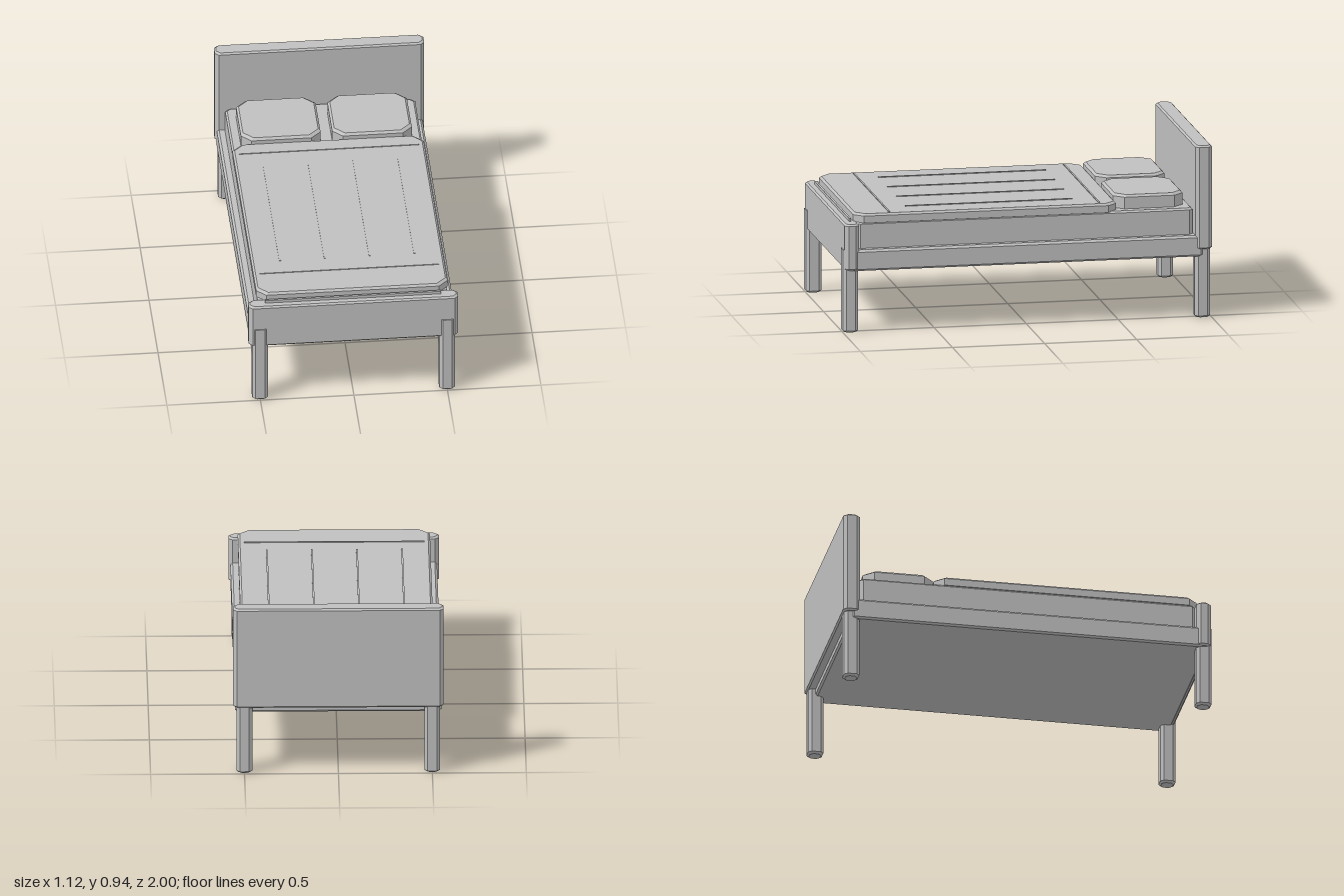
import * as THREE from 'three';

// Box with cut vertical corners and optional bevels on its top and bottom rims.
function chamferBox([x0, x1], [y0, y1], [z0, z1], corner, top = 0, bottom = 0) {
  const ring = (y, inset) => {
    const a = x0 + inset, b = x1 - inset, c = z0 + inset, d = z1 - inset, k = corner;
    return [[a + k, d], [b - k, d], [b, d - k], [b, c + k], [b - k, c], [a + k, c], [a, c + k], [a, d - k]]
      .map(([x, z]) => [x, y, z]);
  };
  const rings = [ring(y0, bottom)];
  if (bottom) rings.push(ring(y0 + bottom, 0));
  if (top) rings.push(ring(y1 - top, 0));
  rings.push(ring(y1, top));
  const points = [];
  const tri = (a, b, c) => points.push(...a, ...b, ...c);
  for (let r = 0; r < rings.length - 1; r++) {
    for (let i = 0; i < 8; i++) {
      const j = (i + 1) % 8, lo = rings[r], hi = rings[r + 1];
      tri(lo[i], lo[j], hi[j]);
      tri(lo[i], hi[j], hi[i]);
    }
  }
  const first = rings[0], last = rings[rings.length - 1];
  for (let i = 1; i < 7; i++) {
    tri(last[0], last[i], last[i + 1]);
    tri(first[0], first[i + 1], first[i]);
  }
  const geometry = new THREE.BufferGeometry();
  geometry.setAttribute('position', new THREE.Float32BufferAttribute(points, 3));
  geometry.computeVertexNormals();
  return geometry;
}

export function createModel() {
  const bed = new THREE.Group();
  bed.name = 'bed';
  const grey = new THREE.MeshStandardMaterial({ color: 0xc0c0c0 });
  grey.name = 'plain grey';

  const add = (name, geometry) => {
    const mesh = new THREE.Mesh(geometry, grey);
    mesh.name = name;
    bed.add(mesh);
    return mesh;
  };
  const strip = (name, w, h, d, x, y, z) =>
    add(name, new THREE.BoxGeometry(w, h, d)).position.set(x, y, z);

  // Frame and end boards
  add('frame', chamferBox([-0.55, 0.55], [0.335, 0.45], [-0.955, 0.98], 0.015, 0.012, 0.01));
  add('headboard', chamferBox([-0.56, 0.56], [0.375, 0.94], [-1, -0.91], 0.02, 0.009, 0.009));
  add('footboard', chamferBox([-0.56, 0.56], [0.34, 0.592], [0.915, 0.993], 0.02, 0.009, 0.009));
  strip('footboardTrim', 0.94, 0.018, 0.012, 0, 0.599, 0.95);

  // Legs; the front pair stands slightly proud of the footboard
  for (const [side, s] of [['left', 1], ['right', -1]]) {
    const x = [s * 0.5 - 0.042, s * 0.5 + 0.042];
    add(side + 'FrontLeg', chamferBox(x, [0, 0.45], [0.917, 1], 0.017, 0, 0.01));
    add(side + 'BackLeg', chamferBox(x, [0, 0.45], [-0.993, -0.91], 0.017, 0, 0.01));
  }

  // Mattress and blanket
  add('mattress', chamferBox([-0.508, 0.508], [0.44, 0.592], [-0.905, 0.92], 0.02, 0.01));
  add('blanket', chamferBox([-0.512, 0.512], [0.588, 0.637], [-0.495, 0.932], 0.05, 0.011));

  // Stitched seams on the blanket
  for (const x of [-0.36, -0.12, 0.12, 0.36]) strip('longSeam', 0.009, 0.006, 0.91, x, 0.638, 0.175);
  for (const z of [-0.4, 0.74]) strip('crossSeam', 0.96, 0.006, 0.009, 0, 0.638, z);

  // Pillows
  for (const [side, s] of [['left', 1], ['right', -1]]) {
    add(side + 'Pillow', chamferBox([s * 0.244 - 0.213, s * 0.244 + 0.213], [0.588, 0.667], [-0.868, -0.49], 0.053, 0.012));
  }
  return bed;
}
